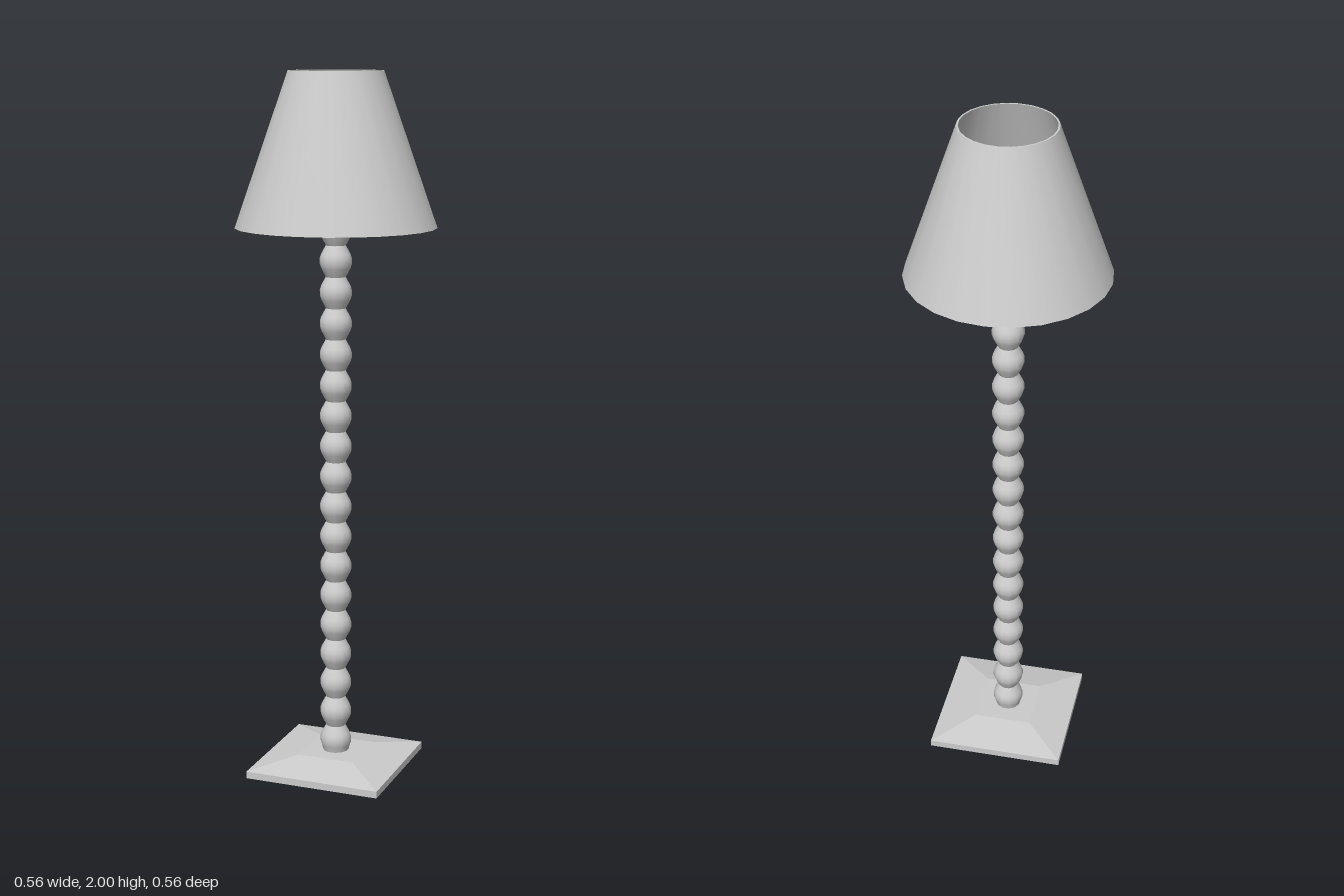
import * as THREE from 'three';
import { toCreasedNormals } from 'three/addons/utils/BufferGeometryUtils.js';

export function createModel() {
  const lamp = new THREE.Group();
  lamp.name = 'floorLamp';
  const smooth = new THREE.MeshStandardMaterial({ color: 0xcccccc });
  const flat = new THREE.MeshStandardMaterial({ color: 0xcccccc, flatShading: true });
  const shell = new THREE.MeshStandardMaterial({ color: 0xcccccc, side: THREE.DoubleSide });

  function add(name, geometry, material, y = 0, parent = lamp) {
    const mesh = new THREE.Mesh(geometry, material);
    mesh.name = name;
    mesh.position.y = y;
    parent.add(mesh);
    return mesh;
  }
  const lathe = (points, sides) =>
    new THREE.LatheGeometry(points.map(([r, y]) => new THREE.Vector2(r, y)), sides);

  // Square base with its corners on the axes: a low plinth and a sloped cap
  add('basePlinth', new THREE.CylinderGeometry(0.282, 0.282, 0.02, 4), flat, 0.01);
  add('baseSlope', new THREE.CylinderGeometry(0.12, 0.282, 0.026, 4), flat, 0.033);

  // Turned pole: a stack of equal beads
  const pitch = 0.0877, firstBead = 0.078, beads = 19;
  const profile = [[0.036, 0.04], [0.042, 0.062]];
  for (let i = 0; i < beads; i++) {
    const y = firstBead + i * pitch;
    if (i > 0) profile.push([0.028, y - pitch / 2], [0.041, y - 0.02]);
    profile.push([0.045, y - 0.008], [0.045, y + 0.008], [0.041, y + 0.02]);
  }
  const poleTop = firstBead + (beads - 0.5) * pitch;
  profile.push([0.028, poleTop], [0, poleTop]);
  add('beadedPole', toCreasedNormals(lathe(profile, 12), 0.7), smooth);

  // Round finial on top of the pole
  add('finial', new THREE.SphereGeometry(0.037, 12, 8), smooth, poleTop + 0.015);

  // Thin conical shade with inner and outer walls
  const shade = [[0.276, 1.575], [0.281, 1.575], [0.132, 2], [0.127, 2], [0.276, 1.575]];
  add('shade', toCreasedNormals(lathe(shade, 24), 0.7), shell);

  // Eight-sided collar and spokes carrying the shade
  const carrier = new THREE.Group();
  carrier.name = 'shadeCarrier';
  lamp.add(carrier);
  const collar = [[0.034, 1.652], [0.047, 1.652], [0.047, 1.668], [0.034, 1.668], [0.034, 1.652]];
  add('collar', toCreasedNormals(lathe(collar, 8), 0.5), smooth, 0, carrier);
  for (let i = 0; i < 8; i++) {
    const a = (i * Math.PI) / 4;
    const at = (r, y) => new THREE.Vector3(r * Math.cos(a), y, r * Math.sin(a));
    const path = new THREE.LineCurve3(at(0.042, 1.66), at(0.277, 1.58));
    add('spoke', new THREE.TubeGeometry(path, 1, 0.004, 6), smooth, 0, carrier);
  }
  return lamp;
}
